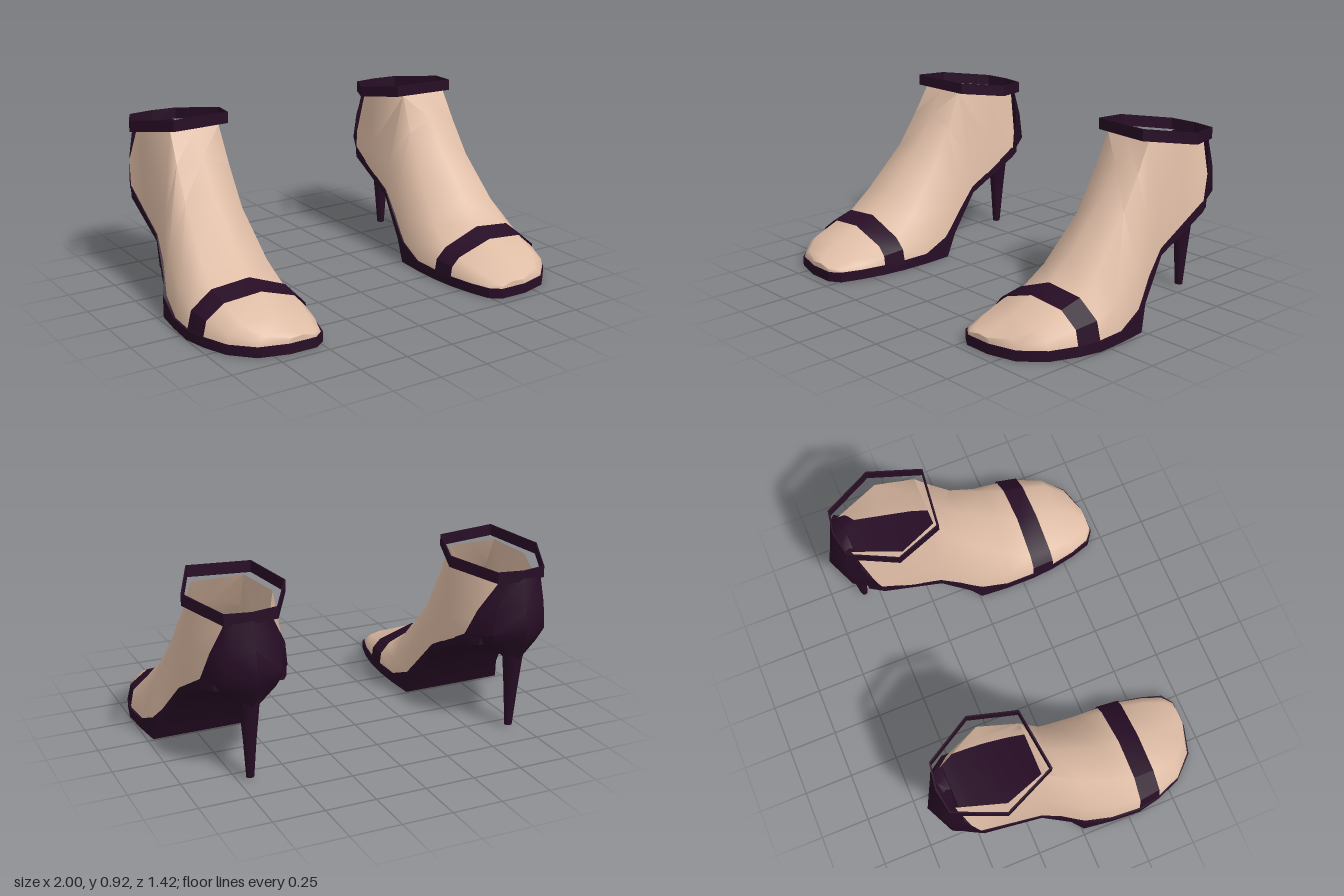
import * as THREE from 'three';
import { toCreasedNormals } from 'three/addons/utils/BufferGeometryUtils.js';

const skin = new THREE.MeshStandardMaterial({ color: 0xdfbda6, side: THREE.DoubleSide });
skin.name = 'skin';
const leather = new THREE.MeshStandardMaterial({ color: 0x270d25, side: THREE.DoubleSide });
leather.name = 'dark plum leather';

const lerp = THREE.MathUtils.lerp;

// Joins rows of [x, y, z] points into a surface; closed wraps each row round.
function loft(rows, { closed = false, crease = 0.6, skip = () => false } = {}) {
  const n = rows[0].length, index = [];
  for (let i = 0; i < rows.length - 1; i++) {
    for (let j = 0; j < (closed ? n : n - 1); j++) {
      if (skip(i, j)) continue;
      const k = (j + 1) % n;
      const a = i * n + j, b = i * n + k, c = a + n, d = b + n;
      index.push(a, b, c, b, d, c);
    }
  }
  const g = new THREE.BufferGeometry();
  g.setAttribute('position', new THREE.Float32BufferAttribute(rows.flat(2), 3));
  g.setIndex(index);
  return toCreasedNormals(g, crease);
}

// A row collapsed to its middle, used to close the end of a loft.
function collapse(row) {
  const mid = [0, 1, 2].map(k => row.reduce((s, p) => s + p[k], 0) / row.length);
  return row.map(() => mid);
}

// Foot arches: sole z, sole y, top z, top y, inner x, outer x, inner and outer shoulder x
const FOOT = [
  [0.70, 0.05, 0.70, 0.08, 0.54, 0.68, 0.55, 0.67],
  [0.66, 0.05, 0.655, 0.10, 0.49, 0.82, 0.53, 0.78],
  [0.56, 0.05, 0.56, 0.145, 0.455, 0.92, 0.50, 0.85],
  [0.43, 0.05, 0.43, 0.20, 0.43, 0.97, 0.48, 0.86],
  [0.31, 0.05, 0.32, 0.235, 0.42, 0.99, 0.48, 0.865],
  [0.16, 0.05, 0.20, 0.35, 0.42, 0.98, 0.50, 0.86],
  [0.02, 0.11, 0.00, 0.57, 0.43, 0.955, 0.53, 0.83],
  [-0.10, 0.225, -0.10, 0.72, 0.45, 0.91, 0.54, 0.82],
  [-0.20, 0.34, -0.18, 0.85, 0.46, 0.89, 0.55, 0.81],
  [-0.35, 0.42, -0.37, 0.82, 0.46, 0.885, 0.48, 0.87],
  [-0.51, 0.50, -0.60, 0.785, 0.475, 0.88, 0.59, 0.79],
];

function arch([zb, yb, zt, yt, xi, xo, ti, to], i) {
  const t = THREE.MathUtils.clamp((i - 4) / 4, 0, 1);
  const si = lerp(0.58, 1, t), so = lerp(0.9, 1, t);
  const at = (x, f) => [x, lerp(yb, yt, f), lerp(zb, zt, f)];
  return [
    at(xi, 0), at(lerp(xi, ti, 0.17), 0.29), at(ti, si), at((ti + to) / 2, 1),
    at(to, so), at(lerp(xo, to, 0.18), 0.46), at(xo, 0),
  ];
}

function footGeometry() {
  const rows = FOOT.map(arch);
  rows.unshift(rows[0].map(([x, , z]) => [x, 0.05, z]));
  // The ankle is open above and behind
  return loft(rows, { crease: 1.1, skip: (i, j) => i >= 9 && (j === 2 || j === 3) });
}

function toeStrapGeometry() {
  const grow = p => [p[0] + (p[0] - 0.7) * 0.022, p[1] + 0.009, p[2]];
  const rows = [3, 4].map(i => {
    const r = arch(FOOT[i], i).map(grow);
    r[0][1] = r[6][1] = 0.04;
    return r;
  });
  return loft(rows, { crease: 0.5 });
}

function soleGeometry() {
  // z, top y, bottom y, inner x, outer x
  const rows = [
    [0.706, 0.053, 0.004, 0.54, 0.68],
    [0.665, 0.053, 0.004, 0.483, 0.825],
    [0.56, 0.053, 0.004, 0.45, 0.925],
    [0.43, 0.053, 0.003, 0.425, 0.975],
    [0.31, 0.053, 0.002, 0.415, 1.0],
    [0.16, 0.053, 0.001, 0.415, 0.99],
    [0.01, 0.115, 0, 0.425, 0.97],
    [-0.05, 0.18, 0.115, 0.435, 0.935],
    [-0.20, 0.343, 0.31, 0.455, 0.895],
    [-0.50, 0.503, 0.45, 0.47, 0.885],
    [-0.57, 0.52, 0.46, 0.51, 0.85],
  ].map(([z, t, b, i, o]) => [[i, t, z], [o, t, z], [o, b, z], [i, b, z]]);
  return loft([collapse(rows[0]), ...rows, collapse(rows.at(-1))], { closed: true });
}

function counterGeometry() {
  // Front y, front z, front inner/outer x, side z, side inner/outer x, back y, back z
  const rows = [
    [0.785, -0.615, 0.58, 0.81, -0.64, 0.61, 0.78, 0.80, -0.655],
    [0.64, -0.56, 0.50, 0.86, -0.64, 0.56, 0.82, 0.67, -0.69],
    [0.50, -0.50, 0.465, 0.89, -0.64, 0.54, 0.83, 0.55, -0.71],
    [0.45, -0.50, 0.50, 0.85, -0.62, 0.57, 0.80, 0.47, -0.685],
    [0.38, -0.54, 0.65, 0.73, -0.60, 0.64, 0.74, 0.38, -0.637],
  ].map(([fy, fz, fi, fo, sz, si, so, by, bz]) => {
    const sy = (fy + by) / 2;
    return [[fi, fy, fz], [si, sy, sz], [0.69, by, bz], [so, sy, sz], [fo, fy, fz]];
  });
  // The front is filled only below the foot
  return loft(rows, { closed: true, crease: 0.8, skip: (i, j) => j === 4 && i < 2 });
}

function heelGeometry() {
  const ring = (y, z, w, d) => Array.from({ length: 8 }, (_, k) => {
    const a = k / 8 * Math.PI * 2;
    return [0.69 - Math.cos(a) * w, y, z - Math.sin(a) * d];
  });
  const rows = [
    ring(0.45, -0.588, 0.075, 0.062), ring(0.38, -0.588, 0.05, 0.05),
    ring(0.2, -0.584, 0.033, 0.034), ring(0.012, -0.579, 0.02, 0.018),
  ];
  return loft([...rows, collapse(rows.at(-1))], { closed: true, crease: 0.9 });
}

function ankleStrapGeometry() {
  const ring = [
    [0.505, 0.882, -0.165], [0.428, 0.847, -0.40], [0.56, 0.813, -0.635],
    [0.69, 0.811, -0.655], [0.815, 0.813, -0.635], [0.927, 0.847, -0.39], [0.815, 0.888, -0.13],
  ];
  const row = (s, dy) => ring.map(([x, y, z]) =>
    [0.68 + (x - 0.68) * s, y + dy, -0.4 + (z + 0.4) * s]);
  const rows = [row(1, 0.028), row(1, -0.028), row(0.97, -0.028), row(0.97, 0.028), row(1, 0.028)];
  return loft(rows, { closed: true, crease: 0.3 });
}

export function createModel() {
  const parts = [
    ['foot', footGeometry(), skin],
    ['sole', soleGeometry(), leather],
    ['toeStrap', toeStrapGeometry(), leather],
    ['heelCounter', counterGeometry(), leather],
    ['stilettoHeel', heelGeometry(), leather],
    ['ankleStrap', ankleStrapGeometry(), leather],
  ];
  const model = new THREE.Group();
  model.name = 'sandalledFeet';
  for (const [name, side] of [['left', 1], ['right', -1]]) {
    const shoe = new THREE.Group();
    shoe.name = name + 'Foot';
    for (const [part, geometry, material] of parts) {
      const mesh = new THREE.Mesh(geometry, material);
      mesh.name = part;
      shoe.add(mesh);
    }
    shoe.scale.x = side;
    model.add(shoe);
  }
  return model;
}
